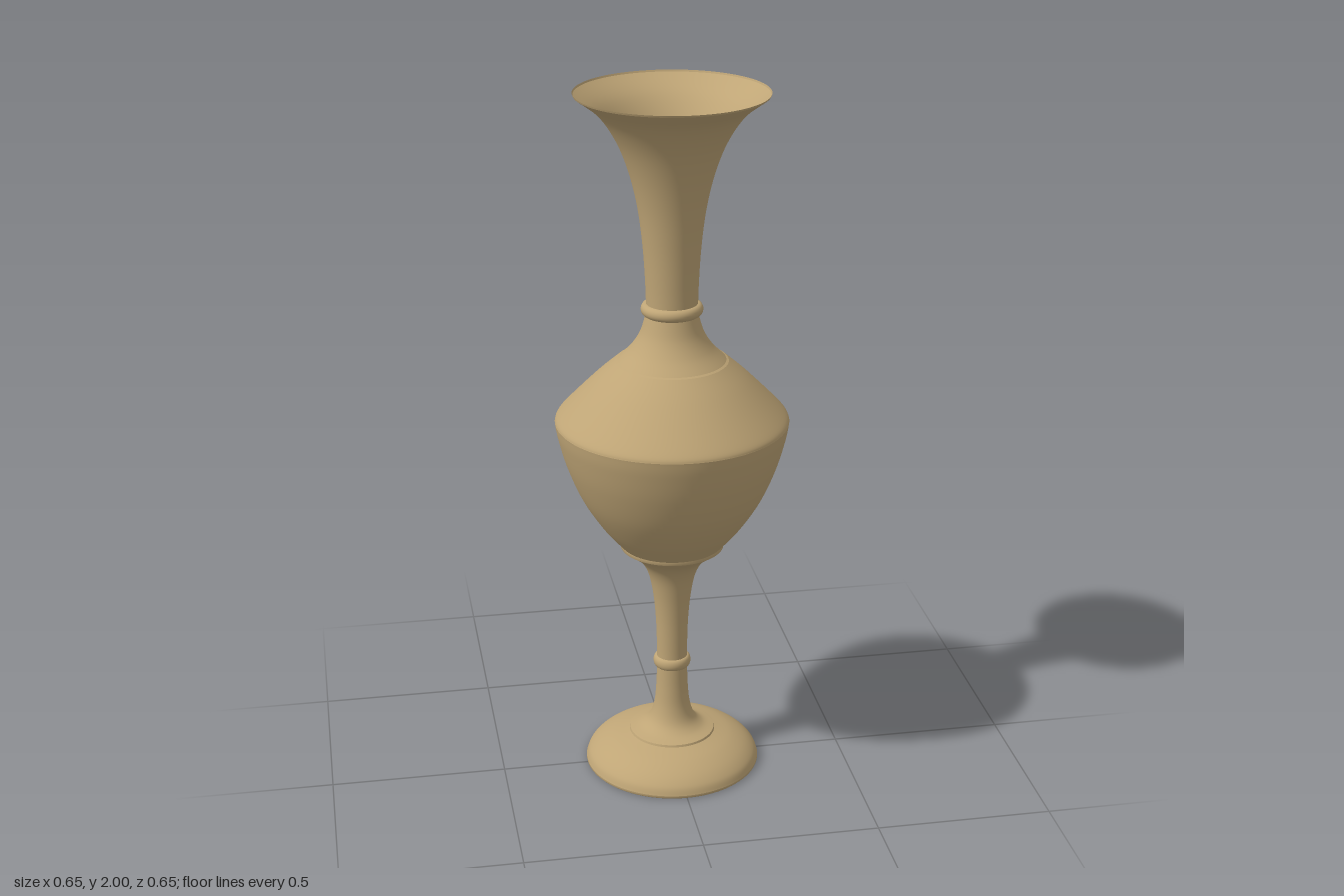
import * as THREE from 'three';

const SEGMENTS = 96;

export function createModel() {
  const group = new THREE.Group();
  const clay = new THREE.MeshStandardMaterial({ color: 0xbfa576, side: THREE.DoubleSide });
  clay.name = 'tan clay';

  // Revolve a profile of [radius, height] points, smoothed by a spline where asked
  function turn(name, profile, smooth = true) {
    let points = profile.map(([r, y]) => new THREE.Vector2(r, y));
    if (smooth) points = new THREE.SplineCurve(points).getPoints(profile.length * 5);
    const mesh = new THREE.Mesh(new THREE.LatheGeometry(points, SEGMENTS), clay);
    mesh.name = name;
    group.add(mesh);
  }

  // Rounded ring around the stem or neck
  function bead(name, radius, y, height, bulge) {
    const profile = [];
    for (let i = 0; i <= 10; i++) {
      const a = -Math.PI / 2 + (Math.PI * i) / 10;
      profile.push([radius + bulge * Math.cos(a), y + (height / 2) * Math.sin(a)]);
    }
    turn(name, profile, false);
  }

  // Foot: shallow hollow underside, rim and domed top
  turn('footUnderside', [[0, 0.018], [0.14, 0.018], [0.25, 0]], false);
  turn('footRim', [[0.25, 0], [0.253, 0.003], [0.253, 0.009]], false);
  turn('footDome', [[0.253, 0.009], [0.243, 0.032], [0.216, 0.057], [0.175, 0.079], [0.125, 0.095]]);
  turn('footStep', [[0.125, 0.095], [0.123, 0.101]], false);

  // Stem, with a bead part way up
  turn('lowerStem', [[0.123, 0.101], [0.09, 0.113], [0.066, 0.137], [0.052, 0.18], [0.046, 0.24], [0.044, 0.305]]);
  bead('stemBead', 0.044, 0.32, 0.034, 0.01);
  turn('upperStem', [[0.044, 0.305], [0.044, 0.37], [0.047, 0.46], [0.055, 0.54], [0.069, 0.605], [0.095, 0.65], [0.143, 0.688]]);
  turn('bodyStep', [[0.143, 0.688], [0.147, 0.69], [0.147, 0.7]], false);

  // Body: rounded bowl, sharp shoulder edge and sloping shoulder
  turn('bowl', [[0.147, 0.7], [0.2, 0.763], [0.255, 0.85], [0.295, 0.945], [0.319, 1.03], [0.327, 1.075]]);
  turn('shoulder', [[0.327, 1.075], [0.318, 1.092], [0.27, 1.143], [0.21, 1.203], [0.157, 1.25]]);
  turn('shoulderStep', [[0.157, 1.25], [0.15, 1.253]], false);
  turn('neckBase', [[0.15, 1.253], [0.115, 1.289], [0.088, 1.333], [0.071, 1.39]]);

  // Neck bead and flared mouth
  bead('neckBead', 0.071, 1.4, 0.034, 0.015);
  turn('neck', [[0.071, 1.39], [0.073, 1.47], [0.08, 1.58], [0.094, 1.69], [0.118, 1.79], [0.152, 1.875], [0.2, 1.946], [0.262, 1.995]]);
  turn('lip', [[0.262, 1.995], [0.264, 2]], false);

  return group;
}
